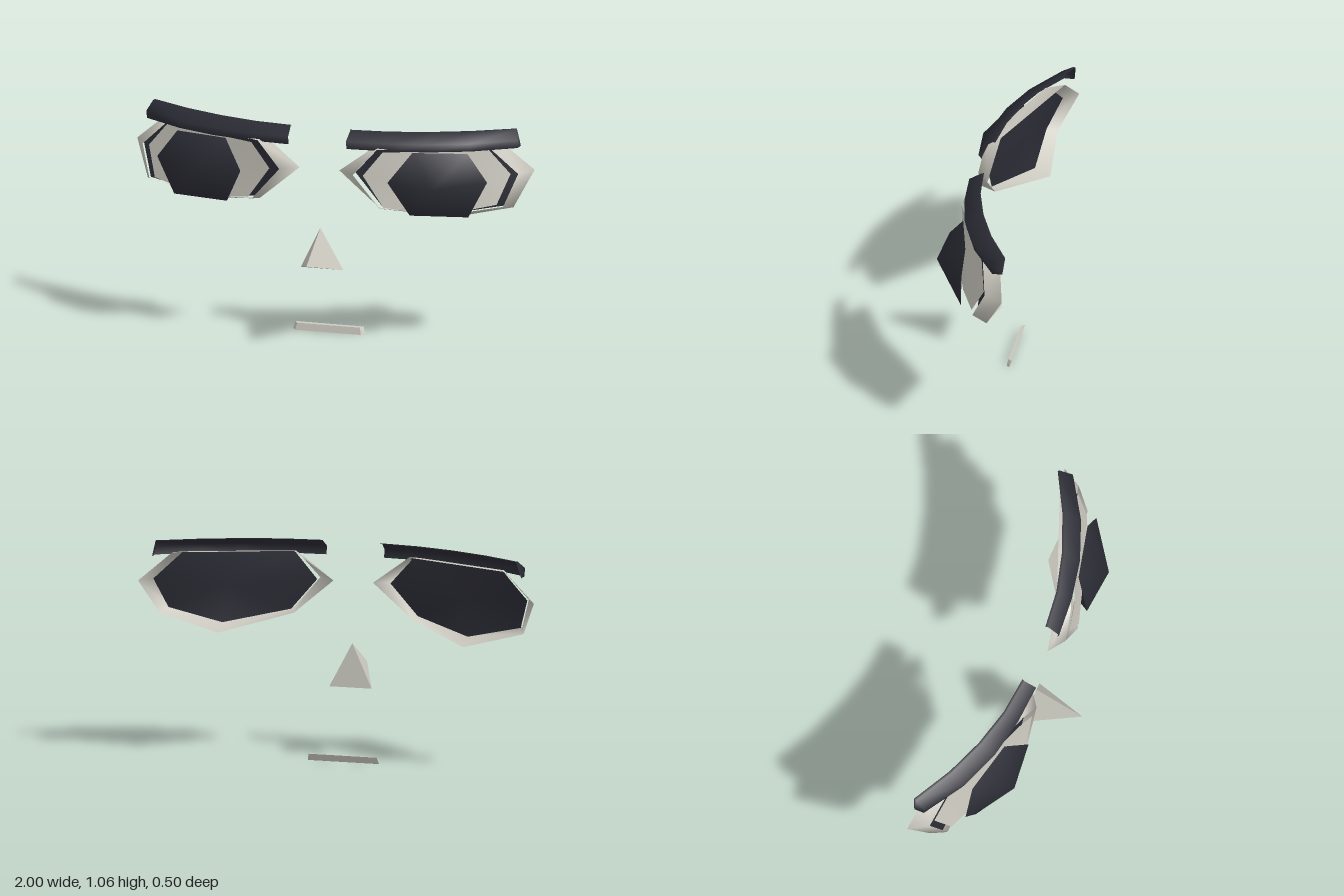
import * as THREE from 'three';
import { ConvexGeometry } from 'three/addons/geometries/ConvexGeometry.js';

// Smooth surface from points and triangle indices
function surface(points, index) {
  const g = new THREE.BufferGeometry();
  g.setAttribute('position', new THREE.Float32BufferAttribute(points.flat(), 3));
  g.setIndex(index);
  g.computeVertexNormals();
  return g;
}

// Skin between cross-sections of equal point count
function loft(sections, closed) {
  const n = sections[0].length, index = [];
  for (let i = 0; i < sections.length - 1; i++) {
    for (let j = 0; j < (closed ? n : n - 1); j++) {
      const a = i * n + j, b = i * n + (j + 1) % n;
      index.push(a, b, a + n, b, b + n, a + n);
    }
  }
  return surface(sections.flat(), index);
}

// Dome: a closed outline joined to one central point
function fan(center, outline) {
  const n = outline.length, index = [];
  for (let i = 0; i < n; i++) index.push(0, i + 1, ((i + 1) % n) + 1);
  return surface([center, ...outline], index);
}

export function createModel() {
  const pale = new THREE.MeshStandardMaterial({ color: 0xcac8be, side: THREE.DoubleSide });
  pale.name = 'pale grey';
  const dark = new THREE.MeshStandardMaterial({ color: 0x2b2b35, side: THREE.DoubleSide });
  dark.name = 'dark slate';

  const model = new THREE.Group();
  model.name = 'face';
  const add = (parent, name, geometry, material) => {
    const mesh = new THREE.Mesh(geometry, material);
    mesh.name = name;
    parent.add(mesh);
  };

  // Eye rim, counter-clockwise from the inner corner: back edge and front edge
  const rimBack = [
    [0.1, 0.86, 0.03], [0.3, 0.69, 0.03], [0.62, 0.612, -0.18], [0.92, 0.69, -0.16],
    [1.0, 0.86, -0.25], [0.84, 1.0, -0.21], [0.29, 1.0, 0.0],
  ];
  const rimFront = [
    [0.185, 0.86, 0.09], [0.32, 0.705, 0.1], [0.62, 0.65, -0.08], [0.89, 0.71, -0.085],
    [0.945, 0.86, -0.155], [0.81, 0.99, -0.12], [0.3, 0.99, 0.07],
  ];

  // Recessed dark plate, set deeper near the inner corner
  const plate = rimFront.map(([x, y, z], i) => [x, y, z - (i < 2 ? 0.05 : 0.025)]);

  // Eye white: a shallow shell that leaves a dark border inside the rim
  const white = [
    [0.235, 0.86, 0.088], [0.34, 0.71, 0.095], [0.6, 0.67, 0.015], [0.86, 0.72, -0.075],
    [0.91, 0.86, -0.145], [0.81, 0.98, -0.115], [0.33, 0.98, 0.075],
  ];

  // Iris: a domed hexagon floating in front of the white
  const iris = [
    [0.37, 0.845, 0.125], [0.46, 0.668, 0.05], [0.74, 0.668, 0.0],
    [0.83, 0.845, -0.015], [0.73, 0.98, -0.02], [0.47, 0.98, 0.04],
  ];

  // Brow: an open shell from its back top edge over to its front bottom edge
  const browStations = [
    [0.15, 0.0, 0.072], [0.34, -0.02, 0.058], [0.53, -0.07, 0.02],
    [0.72, -0.145, -0.055], [0.915, -0.25, -0.18],
  ];
  const brow = browStations.map(([x, back, front]) => {
    const flare = (x - 0.3) * 0.03;
    return [
      [x - 0.005, 1.06, back], [x, 1.06, back + 0.012],
      [x + flare, 1.02, front], [x + flare, 0.98, front - 0.01],
    ];
  });
  // The outer end closes onto its lower back corner
  brow.push(Array(4).fill([0.933, 0.98, -0.24]));

  for (const side of [1, -1]) {
    const eye = new THREE.Group();
    eye.name = side > 0 ? 'leftEye' : 'rightEye';
    eye.scale.x = side;
    add(eye, 'eyeRim', loft([rimBack, rimFront], true), pale);
    add(eye, 'eyeBackPlate', fan([0.6, 0.83, -0.07], plate), dark);
    add(eye, 'eyeWhite', fan([0.6, 0.84, 0.0], white), pale);
    add(eye, 'iris', fan([0.6, 0.83, 0.145], iris), dark);
    add(eye, 'brow', loft(brow, false), dark);
    model.add(eye);
  }

  // Nose: a pointed tetrahedron
  const v = (x, y, z) => new THREE.Vector3(x, y, z);
  add(model, 'nose', new ConvexGeometry([
    v(-0.107, 0.348, -0.015), v(0.107, 0.348, -0.015), v(0, 0.56, 0.015), v(0, 0.43, 0.253),
  ]), pale);

  // Mouth: a thin slanted bar
  const mouth = [];
  for (const s of [-1, 1]) {
    mouth.push(v(s * 0.165, 0, -0.115), v(s * 0.18, 0.004, -0.131),
      v(s * 0.158, 0.034, -0.122), v(s * 0.172, 0.036, -0.142));
  }
  add(model, 'mouth', new ConvexGeometry(mouth), pale);

  return model;
}
